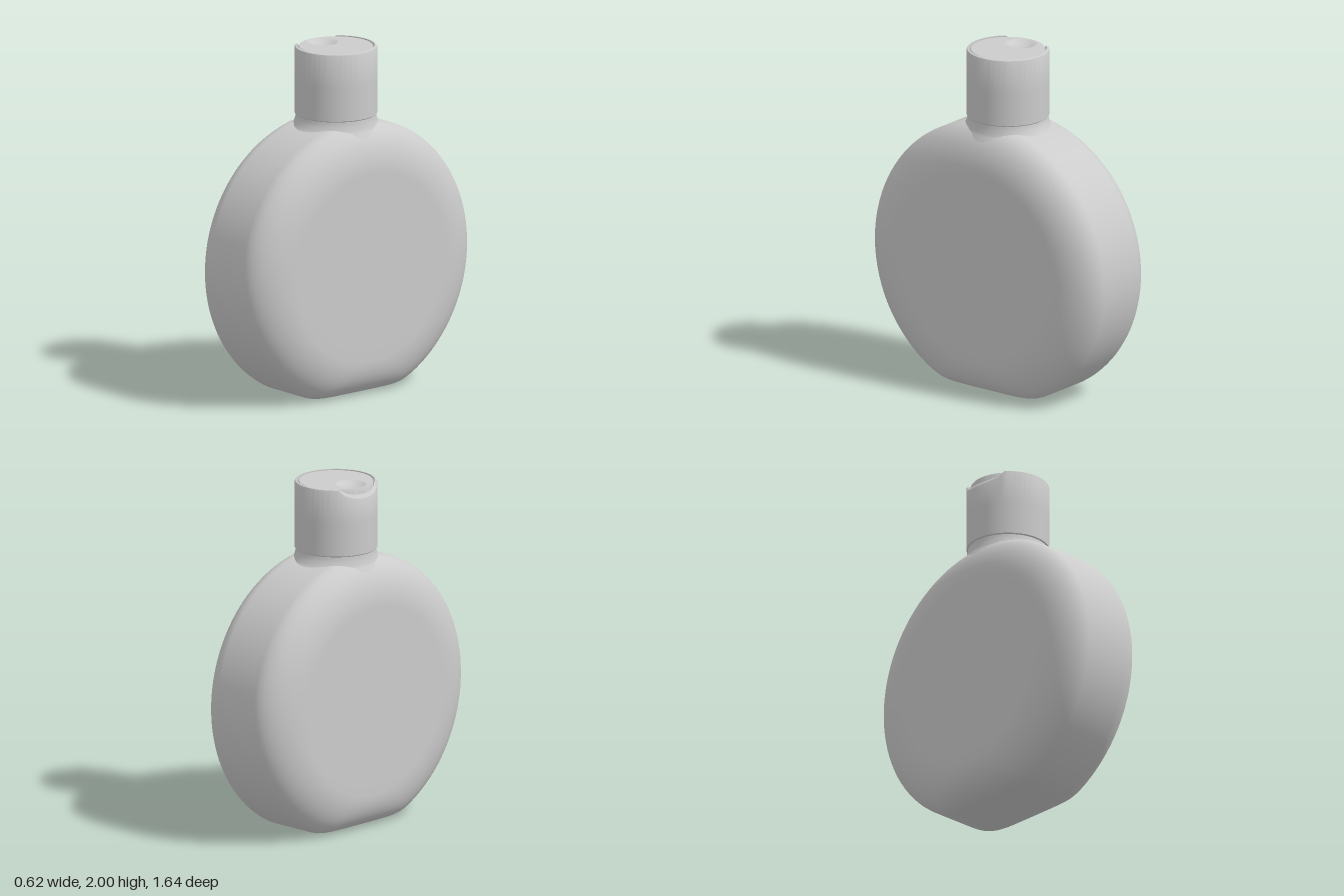
import * as THREE from 'three';
import { toCreasedNormals } from 'three/addons/utils/BufferGeometryUtils.js';

const material = new THREE.MeshStandardMaterial({ color: 0xcccccc });

// Skin a sequence of closed rings; point(i, angle) returns [x, y, z]
function loft(ringCount, segments, point) {
  const positions = [], index = [];
  for (let i = 0; i < ringCount; i++) {
    for (let j = 0; j < segments; j++) positions.push(...point(i, (j / segments) * Math.PI * 2));
  }
  for (let i = 0; i < ringCount - 1; i++) {
    for (let j = 0; j < segments; j++) {
      const k = (j + 1) % segments;
      const a = i * segments + j, b = i * segments + k;
      const c = a + segments, d = b + segments;
      index.push(a, c, b, b, c, d);
    }
  }
  const geometry = new THREE.BufferGeometry();
  geometry.setAttribute('position', new THREE.Float32BufferAttribute(positions, 3));
  geometry.setIndex(index);
  geometry.computeVertexNormals();
  return geometry;
}

function part(name, geometry) {
  const mesh = new THREE.Mesh(geometry, material);
  mesh.name = name;
  return mesh;
}

// Round flask with a flat foot: outlines in the zy plane, stacked along x
function bodyGeometry() {
  const R = 0.82, centreY = 0.76, halfWidth = 0.31, edgeX = 0.17, edgeR = 0.27;
  const half = [[halfWidth, R], [halfWidth, 0.6], [halfWidth, 0.4]]; // [x, inset], face centre first
  const steps = 14;
  for (let i = 0; i <= steps; i++) {
    const t = (i / steps) * Math.PI / 2;
    half.push([halfWidth - edgeX * (1 - Math.cos(t)), edgeR * (1 - Math.sin(t))]);
  }
  const rings = [...half.map(([x, d]) => [-x, d]), ...half.slice().reverse()];
  return loft(rings.length, 160, (i, a) => {
    const [x, d] = rings[i];
    const round = R - d;
    const foot = Math.max(centreY - d * 0.75, 0.001);
    const down = Math.max(-Math.sin(a), 0);
    // soft minimum of the circle and the flat foot
    const p = 60;
    const r = round < 0.001 ? 0 : round * Math.pow(1 + Math.pow(round * down / foot, p), -1 / p);
    return [x, centreY + r * Math.sin(a), r * Math.cos(a)];
  });
}

// Flared neck, narrower across the thin direction of the body
function neckGeometry() {
  const profile = [[0.31, 1.5], [0.285, 1.522], [0.262, 1.535], [0.247, 1.552], [0.237, 1.575], [0.23, 1.59], [0.226, 1.62]];
  return loft(profile.length, 64, (i, a) => {
    const [r, y] = profile[i];
    const rx = 0.226 + (r - 0.226) * 0.4;
    return [rx * Math.cos(a), y, r * Math.sin(a)];
  });
}

// Cap shell whose rim dips into a thumb notch on the -x side
function capGeometry() {
  const profile = [ // [radius, height, how far the notch lowers it]
    [0.2, 1.605, 0], [0.23, 1.605, 0], [0.235, 1.61, 0], [0.235, 1.8, 0], [0.235, 1.99, 0.055],
    [0.232, 1.997, 0.057], [0.227, 2, 0.055], [0.218, 2, 0.04], [0.217, 1.93, 0], [0.2, 1.93, 0],
  ];
  return toCreasedNormals(loft(profile.length, 96, (i, a) => {
    const [r, y, drop] = profile[i];
    const t = (a - Math.PI) / 0.68;
    const notch = Math.sqrt(Math.max(0, 1 - t * t));
    return [r * Math.cos(a), y - drop * notch, r * Math.sin(a)];
  }), 0.6);
}

// Lid disc with a round finger dimple
function lidGeometry() {
  const profile = [[0.213, 1.92], [0.213, 1.992], [0.21, 1.997]];
  const rings = 28;
  for (let i = 1; i <= rings; i++) profile.push([0.21 * (1 - i / rings), 1.997]);
  return toCreasedNormals(loft(profile.length, 96, (i, a) => {
    const [r, y] = profile[i];
    const x = r * Math.cos(a), z = r * Math.sin(a);
    const q = Math.hypot(x + 0.118, z) / 0.086;
    const dip = y > 1.996 && q < 1 ? 0.024 * (1 - q * q) : 0;
    return [x, y - dip, z];
  }), 0.7);
}

export function createModel() {
  const bottle = new THREE.Group();
  bottle.name = 'bottle';
  bottle.add(
    part('body', bodyGeometry()),
    part('neck', neckGeometry()),
    part('cap', capGeometry()),
    part('lid', lidGeometry()),
  );
  return bottle;
}
